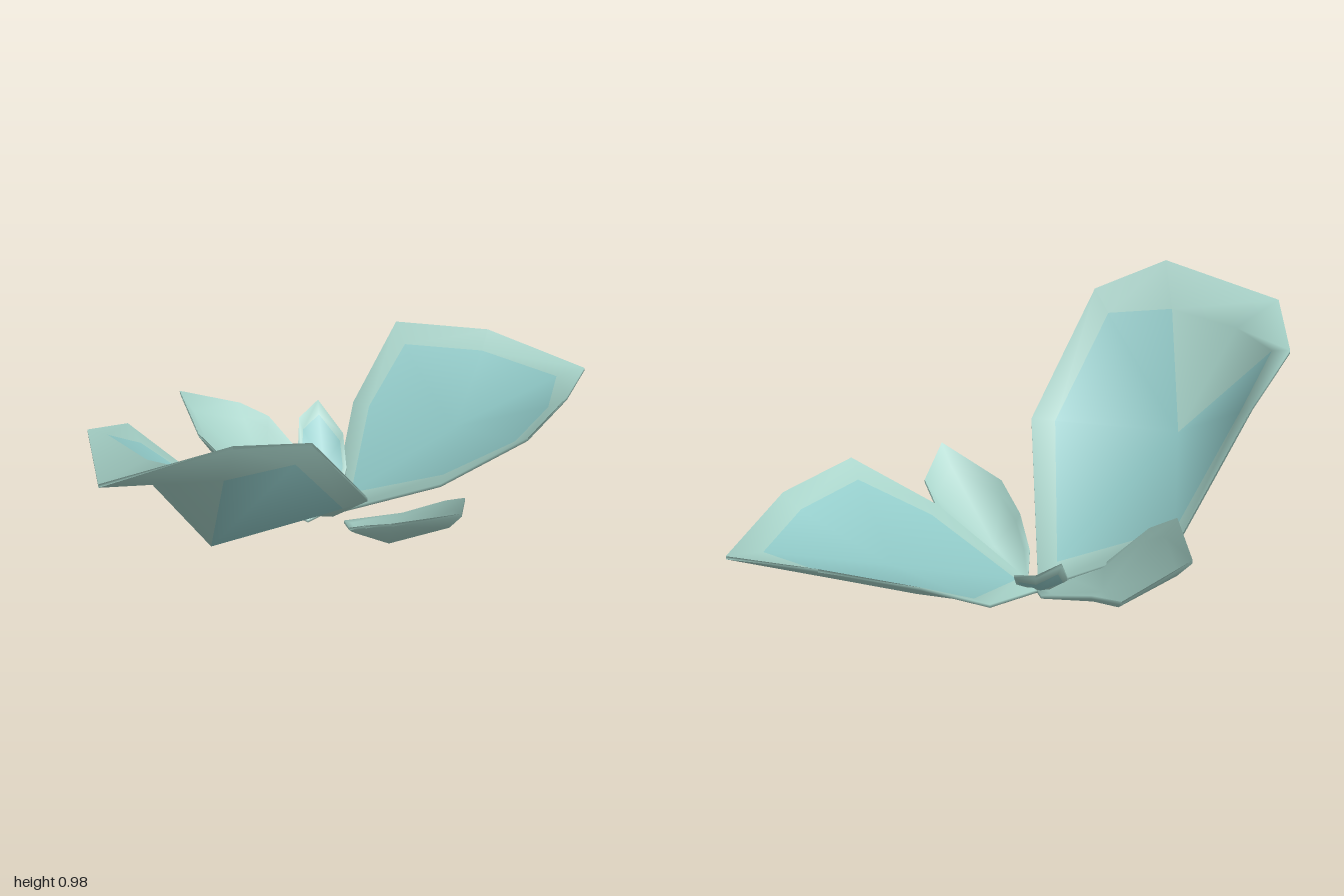
import * as THREE from 'three';

const TEAL = 0x8fc8c6, PALE = 0xa4cfc5, THICKNESS = 0.014;

// A cupped leaf: an outline (counterclockwise from above), a rim ring inside it
// and the low point of the keel, repeated lower down as the underside.
// inset holds ring points that differ from the regular rule; paleFaces lists
// blade sectors that share the rim's colour.
function leaf(name, outline, keel, color, { rim = 0.16, cup = 0.26, inset = {}, paleFaces = [] } = {}) {
  const n = outline.length, low = 2 * n + 1; // low: first vertex of the underside
  const ring = outline.map(([x, y, z], i) => inset[i] ?? [
    x + (keel[0] - x) * rim,
    y + (keel[1] - y) * cup,
    z + (keel[2] - z) * rim,
  ]);
  const top = [...outline, ...ring, keel];
  const underside = top.map(([x, y, z]) => [x, y - THICKNESS, z]);
  const rimFaces = [], bladeFaces = [];
  for (let i = 0; i < n; i++) {
    const j = (i + 1) % n;
    const skin = [i, j, n + j, i, n + j, n + i], sector = [n + i, n + j, 2 * n];
    const flipped = (faces) => faces.map((v) => v + low).reverse();
    const blade = paleFaces.includes(i) ? rimFaces : bladeFaces;
    rimFaces.push(...skin, ...flipped(skin), j, i, low + i, j, low + i, low + j);
    blade.push(...sector, ...flipped(sector));
  }
  const g = new THREE.BufferGeometry();
  g.setAttribute('position', new THREE.Float32BufferAttribute([...top, ...underside].flat(), 3));
  g.setIndex([...rimFaces, ...bladeFaces]);
  g.addGroup(0, rimFaces.length, 0);
  g.addGroup(rimFaces.length, bladeFaces.length, 1);
  g.computeVertexNormals();
  const materials = [PALE, color].map((c) => new THREE.MeshStandardMaterial({ color: c }));
  const mesh = new THREE.Mesh(g, materials);
  mesh.name = name;
  return mesh;
}

export function createModel() {
  const group = new THREE.Group();
  group.name = 'leafCluster';

  // Tall leaf leaning to the front
  group.add(leaf('largeFrontLeaf', [
    [-0.09, 0.03, -0.17], [-0.57, 0.26, 0.05], [-0.70, 0.70, 0.40], [-0.74, 0.825, 0.66],
    [-0.56, 0.845, 0.995], [-0.13, 0.985, 0.85], [0.08, 0.905, 0.64], [0.18, 0.465, 0.29],
  ], [-0.32, 0.375, 0.60], TEAL, {
    cup: 0.17,
    inset: {
      0: [-0.12, 0.095, -0.07], 1: [-0.53, 0.27, 0.11], 3: [-0.67, 0.81, 0.65],
      4: [-0.48, 0.81, 0.76], 5: [-0.19, 0.81, 0.79],
    },
    paleFaces: [3, 4],
  }));

  // Broad leaf spreading to the back
  group.add(leaf('largeBackLeaf', [
    [-0.10, 0.03, -0.18], [0.35, 0.265, -0.16], [0.66, 0.46, -0.28], [0.75, 0.465, -0.61],
    [0.76, 0.395, -0.97], [0.34, 0.495, -1.0], [-0.04, 0.505, -0.94], [-0.14, 0.27, -0.64],
  ], [0.30, 0.26, -0.58], TEAL, { cup: 0.28, inset: { 4: [0.66, 0.39, -0.88] } }));

  // Three small leaves around the base
  group.add(leaf('smallRightLeaf', [
    [-0.10, 0.04, -0.20], [-0.17, 0.10, -0.30], [-0.44, 0.275, -0.43], [-0.57, 0.305, -0.45],
    [-0.76, 0.435, -0.27], [-0.59, 0.415, -0.02], [-0.47, 0.32, 0.0], [-0.31, 0.135, -0.05],
    [-0.17, 0.04, -0.09],
  ], [-0.38, 0.125, -0.20], PALE));

  group.add(leaf('smallLeftLeaf', [
    [-0.04, 0.015, -0.16], [0.02, 0.08, -0.03], [0.11, 0.17, 0.06], [0.23, 0.25, 0.13],
    [0.50, 0.35, 0.13], [0.47, 0.29, -0.06], [0.38, 0.22, -0.12], [0.20, 0.10, -0.16],
  ], [0.18, 0.05, -0.03], PALE));

  group.add(leaf('tinyBackLeaf', [
    [-0.11, 0.03, -0.19], [-0.08, 0.05, -0.20], [-0.08, 0.155, -0.33], [-0.12, 0.255, -0.42],
    [-0.25, 0.345, -0.50], [-0.29, 0.33, -0.37], [-0.27, 0.205, -0.28],
  ], [-0.17, 0.15, -0.31], TEAL));

  return group;
}
